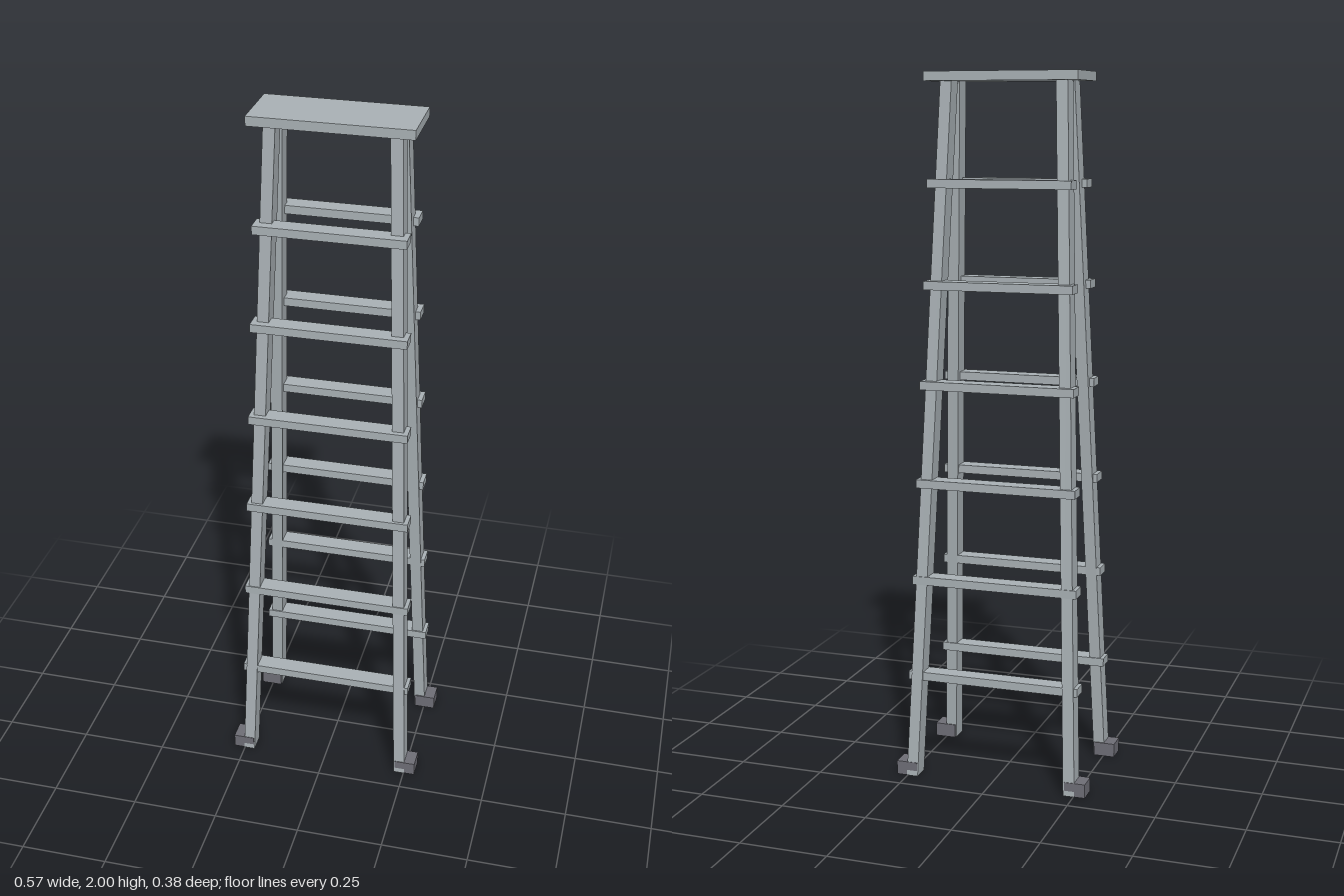
import * as THREE from 'three';

export function createModel() {
  const model = new THREE.Group();
  model.name = 'stepladder';
  const aluminium = new THREE.MeshStandardMaterial({ color: 0xa9b1b5 });
  aluminium.name = 'aluminium';
  const rubber = new THREE.MeshStandardMaterial({ color: 0x6e6e76 });
  rubber.name = 'grey rubber';

  // Box given by its lower and upper limits on each axis
  function block(name, material, [x0, x1], [y0, y1], [z0, z1]) {
    const mesh = new THREE.Mesh(new THREE.BoxGeometry(x1 - x0, y1 - y0, z1 - z0), material);
    mesh.position.set((x0 + x1) / 2, (y0 + y1) / 2, (z0 + z1) / 2);
    mesh.name = name;
    model.add(mesh);
  }

  // Leaning leg: a box whose top end is shifted towards the middle
  function leg(name, sx, sz) {
    const height = 1.975;
    const geometry = new THREE.BoxGeometry(0.033, height, 0.052);
    geometry.translate(0, height / 2, 0);
    const p = geometry.attributes.position;
    for (let i = 0; i < p.count; i++) {
      const t = p.getY(i) / height;
      p.setX(i, p.getX(i) + sx * THREE.MathUtils.lerp(0.236, 0.166, t));
      p.setZ(i, p.getZ(i) + sz * THREE.MathUtils.lerp(0.163, 0.033, t));
    }
    geometry.computeVertexNormals();
    const mesh = new THREE.Mesh(geometry, aluminium);
    mesh.name = name;
    model.add(mesh);
  }

  // Range mirrored to the chosen side
  const side = (s, a, b) => (s > 0 ? [a, b] : [-b, -a]);

  block('topPlatform', aluminium, [-0.22, 0.22], [1.974, 2], [-0.09, 0.09]);

  for (const sz of [1, -1]) {
    const end = sz > 0 ? 'front' : 'back';

    // Legs with a foot on the outer side of each
    for (const sx of [1, -1]) {
      const hand = sx > 0 ? 'Left' : 'Right';
      leg(end + hand + 'Leg', sx, sz);
      block(end + hand + 'Foot', rubber, side(sx, 0.222, 0.283), [0, 0.04], side(sz, 0.131, 0.188));
    }

    // Treads narrow and move inwards with height
    for (let i = 0; i < 6; i++) {
      const y = 0.297 + 0.28 * i;
      const half = 0.252 - 0.009 * i;
      const outer = 0.165 - 0.0122 * i;
      block(end + 'Tread' + (i + 1), aluminium, [-half, half], [y - 0.012, y + 0.012],
        side(sz, outer - 0.052, outer));
    }
  }
  return model;
}
